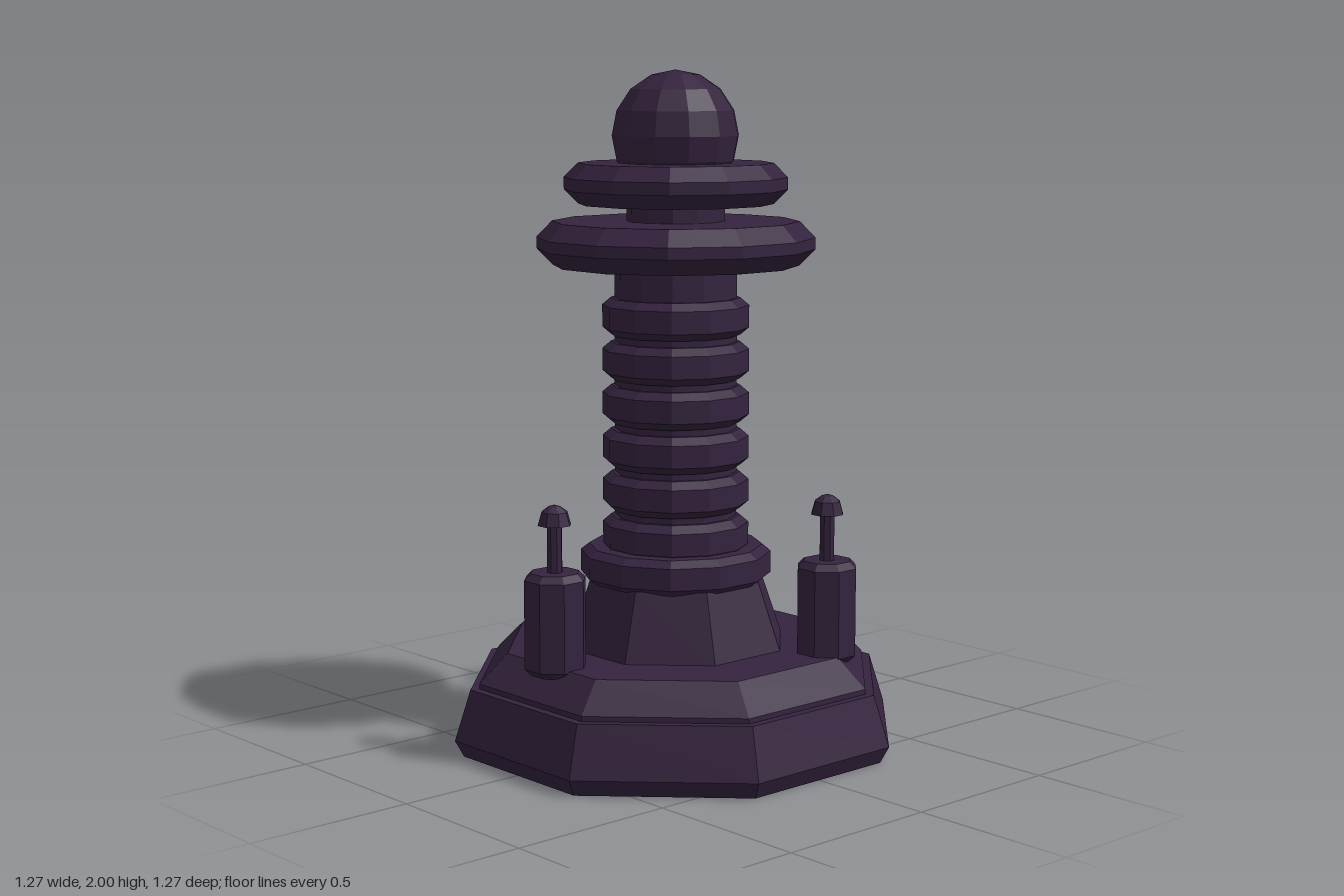
import * as THREE from 'three';

const material = new THREE.MeshStandardMaterial({ color: 0x34233e, flatShading: true });

// Faceted solid from [half-width, y] points (bottom to top), with flats facing the axes
function turned(name, sides, profile) {
  const k = 1 / Math.cos(Math.PI / sides);
  const points = profile.map(([r, y]) => new THREE.Vector2(r * k, y));
  points.unshift(new THREE.Vector2(0, profile[0][1]));
  points.push(new THREE.Vector2(0, profile[profile.length - 1][1]));
  const mesh = new THREE.Mesh(new THREE.LatheGeometry(points, sides, Math.PI / sides), material);
  mesh.name = name;
  return mesh;
}

// Disc with a bevelled rim
function disc(name, sides, r, y0, y1, bevelR, bevelY) {
  return turned(name, sides, [[r - bevelR, y0], [r, y0 + bevelY], [r, y1 - bevelY], [r - bevelR, y1]]);
}

function createPost(x, z) {
  const post = new THREE.Group();
  post.name = 'post';
  post.add(
    disc('postBody', 8, 0.085, 0.275, 0.575, 0.018, 0.02),
    turned('postRod', 8, [[0.021, 0.56], [0.021, 0.73]]),
    turned('postCap', 8, [[0.03, 0.71], [0.046, 0.712], [0.036, 0.75], [0.016, 0.766], [0.004, 0.77]])
  );
  post.position.set(x, 0, z);
  return post;
}

export function createModel() {
  const model = new THREE.Group();
  model.name = 'coilTower';

  // Octagonal stepped base and tapered pedestal
  model.add(
    turned('base', 8, [[0.61, 0], [0.635, 0.05], [0.59, 0.2]]),
    turned('baseStep', 8, [[0.565, 0.19], [0.565, 0.215], [0.485, 0.3]]),
    turned('pedestal', 8, [[0.318, 0.29], [0.25, 0.5]]),
    disc('collar', 12, 0.275, 0.49, 0.595, 0.025, 0.02)
  );

  // Column with six ribs
  model.add(turned('column', 12, [[0.175, 0.58], [0.175, 1.45]]));
  for (let i = 0; i < 6; i++) {
    const y = 0.575 + i * 0.13;
    model.add(disc('rib', 12, 0.21, y, y + 0.11, 0.025, 0.022));
  }

  // Wide rings and neck
  model.add(
    disc('lowerRing', 12, 0.397, 1.43, 1.56, 0.045, 0.048),
    turned('neck', 12, [[0.14, 1.54], [0.14, 1.76]]),
    disc('upperRing', 12, 0.318, 1.61, 1.73, 0.04, 0.042)
  );

  // Faceted ball on top, cut below by the upper ring
  const ball = new THREE.Mesh(new THREE.SphereGeometry(0.19, 12, 8), material);
  ball.name = 'topBall';
  ball.position.y = 1.81;
  model.add(ball);

  // Three posts spaced evenly around the base
  for (let i = 0; i < 3; i++) {
    const a = (i * 2 * Math.PI) / 3;
    model.add(createPost(0.467 * Math.sin(a), 0.467 * Math.cos(a)));
  }
  return model;
}
